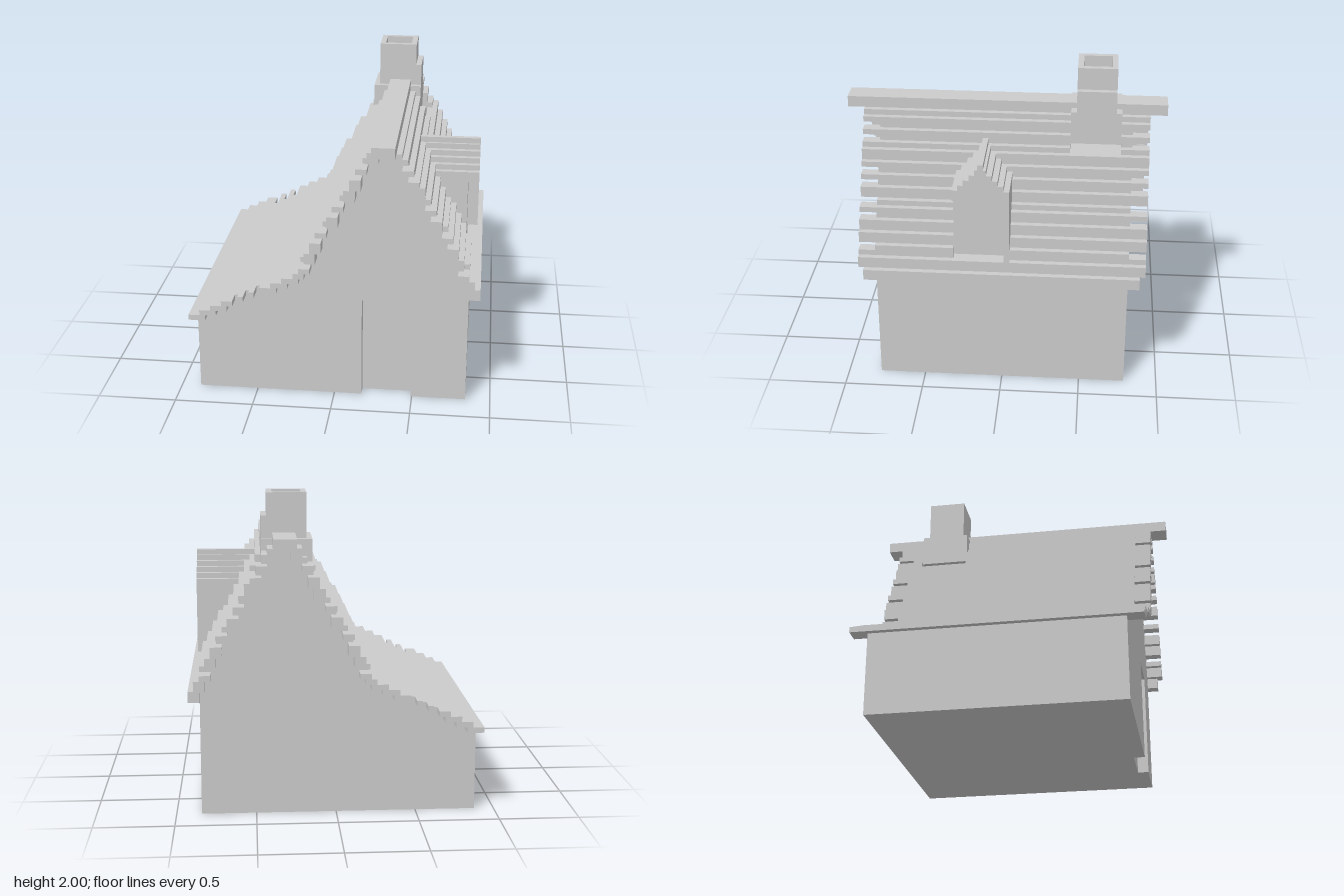
import * as THREE from 'three';

const U = 2 / 57; // one block of the grid everything is built on
const mat = new THREE.MeshStandardMaterial({ color: 0xcccccc, flatShading: true });

export function createModel() {
  const model = new THREE.Group();
  model.name = 'cottage';

  const group = (name) => {
    const g = new THREE.Group();
    g.name = name;
    model.add(g);
    return g;
  };
  // Box given by its limits, in blocks
  const box = (parent, name, x0, x1, y0, y1, z0, z1) => {
    const m = new THREE.Mesh(new THREE.BoxGeometry((x1 - x0) * U, (y1 - y0) * U, (z1 - z0) * U), mat);
    m.position.set((x0 + x1) / 2 * U, (y0 + y1) / 2 * U, (z0 + z1) / 2 * U);
    m.name = name;
    parent.add(m);
  };
  // Outline in blocks, extruded from z0 to z1
  const slab = (parent, name, pts, z0, z1) => {
    const shape = new THREE.Shape(pts.map(([x, y]) => new THREE.Vector2(x * U, y * U)));
    const m = new THREE.Mesh(
      new THREE.ExtrudeGeometry(shape, { depth: (z1 - z0) * U, bevelEnabled: false }), mat);
    m.position.z = z0 * U;
    m.name = name;
    parent.add(m);
  };

  const cut = [-20.5, -11.5]; // roof opening around the chimney
  const dormer = [-1.5, 8.5];

  // House body, with a lowered stretch below the chimney and a recessed doorway
  const body = group('body');
  const lowRight = [[24, 0], [24, 23], [23.7, 24]];
  const lowLeft = [[-4.6, 26], [-8, 23.4], [-25, 15.1], [-25, 0]];
  const peak = [[10.9, 47.5], [10.9, 48], [7.1, 48], [7.1, 47.5]];
  const gable = [...lowRight, ...peak, ...lowLeft];
  const lowered = [...lowRight, [13.7, 42], [4.7, 42], ...lowLeft];
  const doorway = [[5, 0], [5, 19], [14, 19], [14, 0]];
  slab(body, 'backWalls', gable, -22.5, cut[0]);
  slab(body, 'chimneyLedge', lowered, cut[0], cut[1]);
  slab(body, 'walls', gable, cut[1], 20.5);
  slab(body, 'frontWall', [...doorway, ...gable], 20.5, 22.5);

  // Roof courses: one strip per row, some stopping flush with the gables
  const roof = group('roof');
  const course = (name, x0, x1, y, half, gap) => {
    if (gap) {
      box(roof, name, x0, x1, y, y + 1, -half, gap[0]);
      box(roof, name, x0, x1, y, y + 1, gap[1], half);
    } else box(roof, name, x0, x1, y, y + 1, -half, half);
  };
  const flushRows = [26, 31, 33, 36, 38, 43, 45];
  for (let r = 23; r < 48; r++) {
    const half = flushRows.includes(r) ? 22.5 : 25.5;
    const right = Math.min(25, Math.round(25 - (r - 24) * 13 / 23.5));
    const atDormer = r === 25 || r === 26;
    course('rightCourse', right - 2, right, r, half, r >= 42 ? cut : atDormer ? [-0.5, 8.5] : null);
    if (r >= 25) {
      const left = Math.round(-6 + Math.max(0, r - 26) * 12.5 / 21.5);
      course('leftCourse', left, left + 2, r, half, r >= 42 ? cut : null);
    }
  }
  // Shallow lower slope on the -x side
  const shallow = [-26, -24, -22, -20, -17, -15, -13, -11, -9, -7, -6];
  for (let i = 0; i < 10; i++) {
    const x0 = shallow[i], x1 = shallow[i + 1], y = 15 + i;
    if (i >= 3 && i <= 5) {
      course('leftCourse', x0, x1 - 1, y, 25.5);
      course('leftCourse', x1 - 1, x1 + 1, y, 22.5);
    } else course('leftCourse', x0, x1 + 1, y, 25.5);
  }
  box(roof, 'eavesBoard', 24, 26, 21, 23, -24.5, 24.5);
  box(roof, 'ridgeBack', 7, 11, 48, 50, -28.5, -19.5);
  box(roof, 'ridgeFront', 7, 11, 48, 50, -12.5, 28.5);

  // Dormer with a stepped gable and a recessed window
  const dormerGroup = group('dormer');
  box(dormerGroup, 'dormerSill', 21, 25, 24, 25, dormer[0], dormer[1]);
  box(dormerGroup, 'dormerWindow', 14, 23, 25, 37, dormer[0], dormer[1]);
  box(dormerGroup, 'dormerPost', 23, 25, 25, 37, -1.5, -0.5);
  [5, 5, 4, 3, 2, 1, 0.5].forEach((h, i) =>
    box(dormerGroup, 'dormerRoof', 12, 25, 37 + i, 38 + i, 3.5 - h, 3.5 + h));

  // Chimney with an open flue
  const chimney = group('chimney');
  box(chimney, 'chimneyBase', 4, 13, 43, 49, cut[0], cut[1]);
  box(chimney, 'chimneyShoulder', 12, 13, 49, 53, -19.5, -12.5);
  for (const x of [5, 11]) box(chimney, 'flueSide', x, x + 1, 49, 57, -19.5, -12.5);
  for (const z of [-19.5, -13.5]) box(chimney, 'flueEnd', 6, 11, 49, 57, z, z + 1);

  return model;
}
